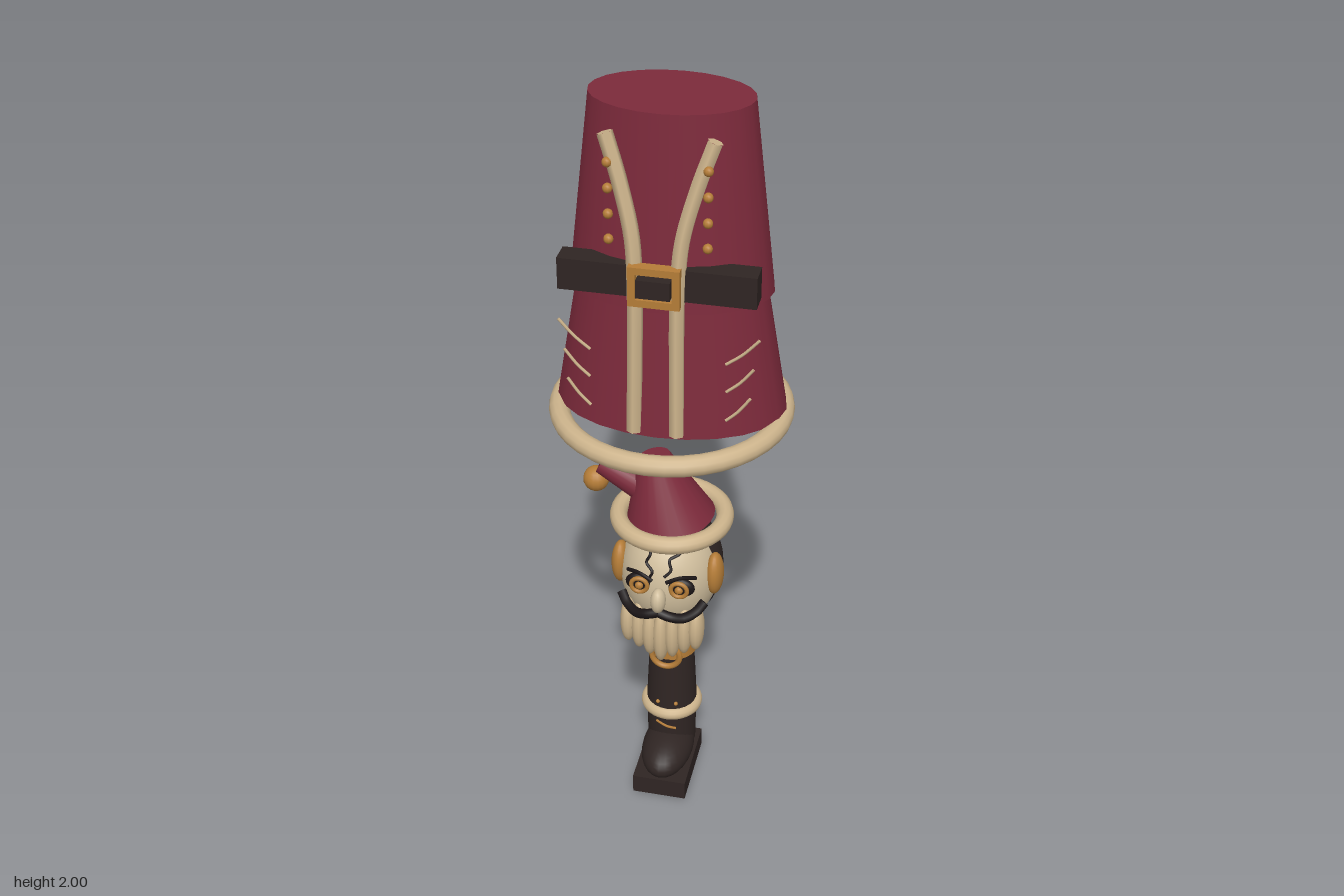
import * as THREE from 'three';

export function createModel() {
  const root = new THREE.Group();
  const mat = (name, color) => Object.assign(new THREE.MeshStandardMaterial({ color }), { name });
  const red = mat('crimson cloth', 0x7c2a3b);
  const cream = mat('cream fur', 0xcdb48c);
  const skin = mat('ivory face', 0xcfbd9c);
  const dark = mat('dark leather', 0x2f2523);
  const gold = mat('antique gold', 0xb57d38);
  const black = mat('black paint', 0x1b1516);

  const add = (parent, name, geo, material, x = 0, y = 0, z = 0) => {
    const m = new THREE.Mesh(geo, material);
    m.name = name;
    m.position.set(x, y, z);
    parent.add(m);
    return m;
  };
  const group = (name) => {
    const g = new THREE.Group();
    g.name = name;
    root.add(g);
    return g;
  };
  const ball = (parent, name, material, [x, y, z], [rx, ry, rz], seg = 20) => {
    const m = add(parent, name, new THREE.SphereGeometry(1, seg, Math.ceil(seg * 0.7)), material, x, y, z);
    m.scale.set(rx, ry, rz);
    return m;
  };
  const box = (parent, name, material, [x, y, z], [w, h, d]) =>
    add(parent, name, new THREE.BoxGeometry(w, h, d), material, x, y, z);
  const drum = (parent, name, material, rTop, rBottom, y0, y1, depth = 1) => {
    const geo = new THREE.CylinderGeometry(rTop, rBottom, y1 - y0, 24).scale(1, 1, depth);
    return add(parent, name, geo, material, 0, (y0 + y1) / 2);
  };
  const ring = (parent, name, material, r, tube, y) =>
    add(parent, name, new THREE.TorusGeometry(r, tube, 12, 40).rotateX(Math.PI / 2), material, 0, y);
  // Tube through points, closed with flat end discs
  const rope = (parent, name, material, pts, r, sides = 6) => {
    const curve = new THREE.CatmullRomCurve3(pts.map((p) => new THREE.Vector3(...p)));
    add(parent, name, new THREE.TubeGeometry(curve, pts.length * 5, r, sides), material);
    for (const t of [0, 1]) {
      const cap = add(parent, name + 'End', new THREE.CircleGeometry(r, sides), material);
      const p = curve.getPoint(t);
      cap.position.copy(p);
      cap.lookAt(p.clone().addScaledVector(curve.getTangent(t), t ? 1 : -1));
    }
  };

  // Floating coat
  const coat = group('coat');
  drum(coat, 'coatBody', red, 0.193, 0.248, 1.525, 2, 0.657);
  drum(coat, 'coatSkirt', red, 0.232, 0.288, 1.2, 1.53, 0.657);
  ring(coat, 'furHem', cream, 0.279, 0.026, 1.18);
  for (const s of [-1, 1]) {
    rope(coat, 'lapelTrim', cream, [
      [s * 0.125, 1.945, 0.122], [s * 0.09, 1.84, 0.138], [s * 0.058, 1.71, 0.156],
      [s * 0.05, 1.58, 0.168], [s * 0.05, 1.4, 0.176], [s * 0.052, 1.21, 0.182],
    ], 0.019);
    for (let i = 0; i < 4; i++)
      ball(coat, 'button', gold, [s * 0.115, 1.885 - i * 0.063, 0.147], [0.012, 0.012, 0.012], 10);
    for (const [x0, y0, x1, y1] of [[0.24, 1.475, 0.163, 1.405], [0.228, 1.395, 0.165, 1.33], [0.222, 1.315, 0.165, 1.25]])
      rope(coat, 'embroidery', cream, [
        [s * x0, y0, 0.15], [s * (x0 * 0.5 + x1 * 0.5), (y0 + y1) / 2 - 0.006, 0.152], [s * x1, y1, 0.155],
      ], 0.004, 5);
  }

  // Belt and buckle
  const belt = group('belt');
  box(belt, 'beltStrap', dark, [0, 1.605, 0.139], [0.468, 0.08, 0.058]);
  for (const s of [-1, 1]) {
    box(belt, 'buckleBar', gold, [0, 1.605 + s * 0.041, 0.182], [0.122, 0.018, 0.028]);
    box(belt, 'buckleSide', gold, [s * 0.052, 1.605, 0.182], [0.018, 0.064, 0.028]);
  }
  box(belt, 'buckleCentre', dark, [0, 1.605, 0.186], [0.08, 0.046, 0.036]);

  // Head: ivory face with a dark cap of hair over the back
  const head = group('head');
  ball(head, 'face', skin, [0, 0.69, 0.02], [0.13, 0.16, 0.135], 32);
  const hairGeo = new THREE.SphereGeometry(1, 32, 20, 0, Math.PI * 2, 0, Math.PI - Math.acos(0.04 / 0.131));
  const hair = add(head, 'hair', hairGeo.rotateX(-Math.PI / 2), dark, 0, 0.69, 0);
  hair.scale.set(0.136, 0.17, 0.131);
  ball(head, 'nose', skin, [0, 0.683, 0.163], [0.02, 0.036, 0.027], 14);
  for (const s of [-1, 1]) {
    ball(head, 'ear', gold, [s * 0.125, 0.71, 0.052], [0.024, 0.062, 0.037]);
    // Eye: dark rim, gold iris ring, black pupil
    ball(head, 'eyeSocket', black, [s * 0.052, 0.717, 0.139], [0.039, 0.028, 0.016]);
    add(head, 'eyeRing', new THREE.TorusGeometry(0.021, 0.006, 8, 20), gold, s * 0.052, 0.717, 0.153);
    ball(head, 'pupil', gold, [s * 0.052, 0.717, 0.154], [0.011, 0.011, 0.009], 12);
    rope(head, 'eyebrow', black, [[s * 0.018, 0.737, 0.155], [s * 0.052, 0.75, 0.146], [s * 0.09, 0.738, 0.12]], 0.005, 6);
    rope(head, 'moustache', black, [
      [0, 0.643, 0.162], [s * 0.03, 0.634, 0.163], [s * 0.062, 0.625, 0.15], [s * 0.092, 0.633, 0.126], [s * 0.11, 0.654, 0.108],
    ], 0.013, 8);
  }
  // Painted cracks on the forehead, held just above the skin
  const onFace = (x, y) => [x, y, 0.022 + 0.135 * Math.sqrt(1 - (x / 0.13) ** 2 - ((y - 0.69) / 0.16) ** 2)];
  const cracks = [
    [[-0.045, 0.815], [-0.03, 0.795], [-0.038, 0.775], [-0.02, 0.757], [-0.03, 0.735]],
    [[0.055, 0.82], [0.045, 0.8], [0.022, 0.788], [0.028, 0.765], [0.012, 0.748]],
  ];
  for (const c of cracks) rope(head, 'faceCrack', black, c.map(([x, y]) => onFace(x, y)), 0.004, 5);

  // Beard of long overlapping locks
  for (let i = -3; i <= 3; i++) {
    const a = Math.abs(i);
    ball(head, 'beardLock', cream, [i * 0.03, 0.545 + a * 0.009, 0.13 - a * 0.005], [0.022, 0.085 - a * 0.005, 0.034], 14);
  }

  // Drooping hat with a bell
  const hat = group('hat');
  ring(hat, 'hatBrim', cream, 0.138, 0.023, 0.843);
  const cone = add(hat, 'hatCone', new THREE.CylinderGeometry(0.042, 0.12, 0.19, 24), red, -0.026, 0.923, 0);
  cone.rotation.z = 0.22;
  const tip = add(hat, 'hatTip', new THREE.CylinderGeometry(0.029, 0.045, 0.125, 18), red, -0.13, 0.95, 0);
  tip.rotation.z = 1.12;
  ball(hat, 'bell', gold, [-0.2, 0.925, 0], [0.034, 0.034, 0.034], 16);

  // Neck, collar and single post leg
  const leg = group('leg');
  drum(leg, 'neck', red, 0.066, 0.066, 0.47, 0.57);
  drum(leg, 'collar', dark, 0.064, 0.064, 0.44, 0.482);
  drum(leg, 'goldBand', gold, 0.07, 0.07, 0.408, 0.45);
  add(leg, 'frontRing', new THREE.TorusGeometry(0.038, 0.008, 8, 28), gold, 0, 0.43, 0.077);
  drum(leg, 'shin', dark, 0.06, 0.07, 0.2, 0.415);
  ring(leg, 'furCuff', cream, 0.066, 0.018, 0.213);
  drum(leg, 'ankle', dark, 0.068, 0.066, 0.08, 0.21);
  rope(leg, 'stitching', gold, [[-0.03, 0.178, 0.062], [0, 0.168, 0.069], [0.025, 0.16, 0.064]], 0.004, 5);
  for (const s of [-1, 1]) ball(leg, 'stud', gold, [s * 0.025, 0.25, 0.064], [0.006, 0.006, 0.006], 8);

  // Boot
  const boot = group('boot');
  ball(boot, 'bootFoot', dark, [0, 0.083, 0.048], [0.07, 0.056, 0.126], 24);
  box(boot, 'bootSole', dark, [0, 0.028, 0.053], [0.146, 0.056, 0.228]);

  return root;
}
